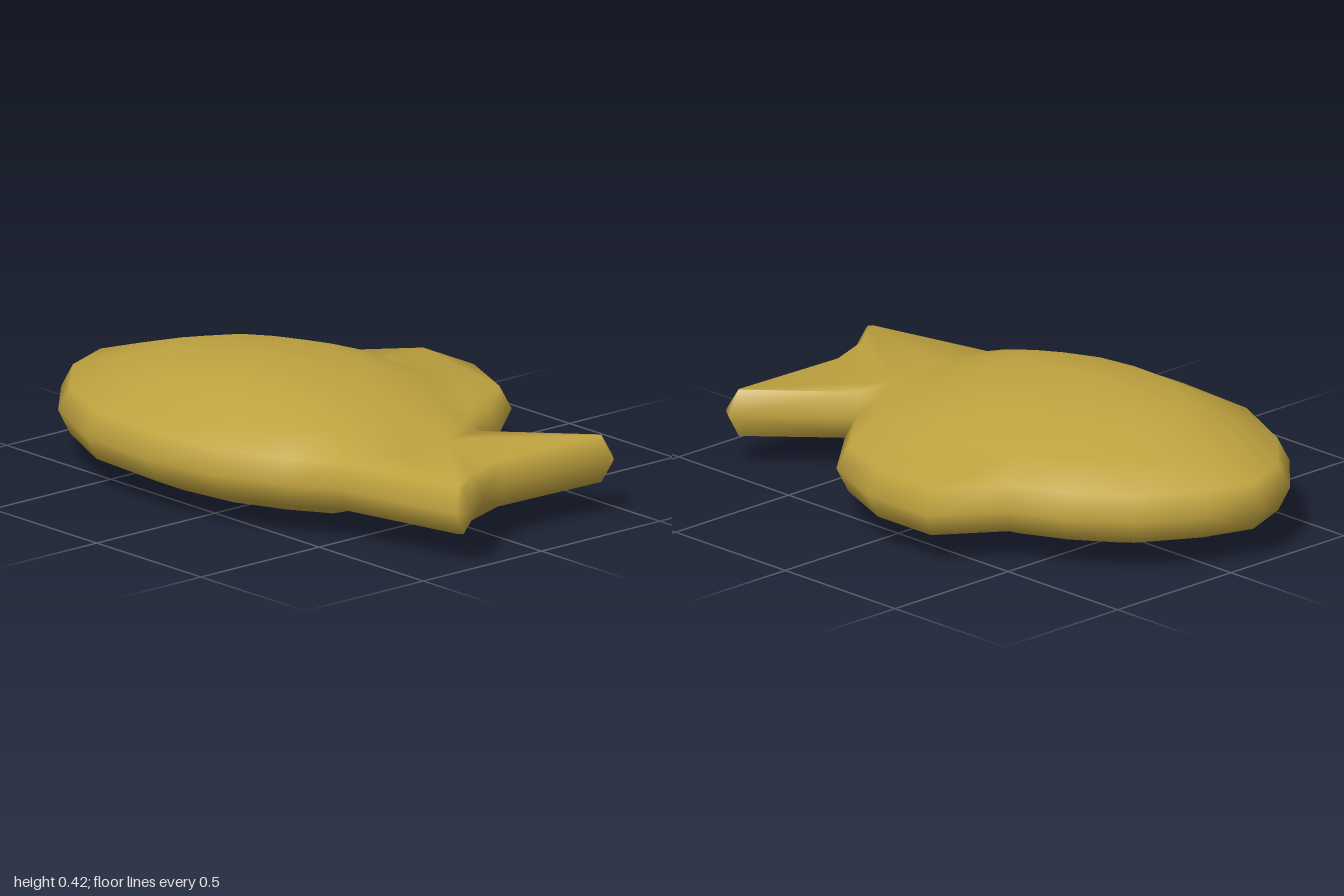
import * as THREE from 'three';
import { mergeVertices } from 'three/addons/utils/BufferGeometryUtils.js';

// Full fish silhouette in plan (x, z): belly, tail, notch, back fin, head
const OUTLINE = [
  [-1, 0.14], [-0.92, 0.34], [-0.73, 0.52], [-0.45, 0.65], [-0.13, 0.67], [0.14, 0.63], [0.37, 0.53], [0.53, 0.43],
  [0.97, 0.335], [0.995, 0.28], [0.89, 0.15], [0.835, 0], [0.848, -0.44], [0.8, -0.475], [0.51, -0.205],
  [0.45, -0.22], [0.39, -0.36], [0.21, -0.57], [-0.04, -0.675], [-0.31, -0.675],
  [-0.46, -0.465], [-0.64, -0.38], [-0.82, -0.25], [-0.94, -0.05],
].map(([x, z]) => new THREE.Vector2(x, z));

// Seams where the domed body meets the tail and the fin
const TAIL_SEAM = [[0.56, 0.2], [0.52, -0.02]].map(([x, z]) => new THREE.Vector2(x, z));
const FIN_SEAM = [[0.32, -0.29], [0.17, -0.4], [0, -0.455], [-0.28, -0.47]].map(([x, z]) => new THREE.Vector2(x, z));

const MID_Y = 0.184;

// Mitred inward offset of a closed outline
function inset(points, d) {
  const n = points.length;
  return points.map((p, i) => {
    const a = p.clone().sub(points[(i + n - 1) % n]).normalize();
    const b = points[(i + 1) % n].clone().sub(p).normalize();
    const na = new THREE.Vector2(a.y, -a.x), nb = new THREE.Vector2(b.y, -b.x);
    const m = na.clone().add(nb);
    return p.clone().addScaledVector(m, d / (1 + na.dot(nb)));
  });
}

export function createModel() {
  const group = new THREE.Group();
  const golden = new THREE.MeshStandardMaterial({ color: 0xbfa23f });
  golden.name = 'golden';

  const positions = [];
  // Add a triangle turned to face up or down
  const tri = (a, b, c, up) => {
    const ny = (b.z - a.z) * (c.x - a.x) - (b.x - a.x) * (c.z - a.z);
    const order = (ny > 0) === up ? [a, b, c] : [a, c, b];
    order.forEach((v) => positions.push(v.x, v.y, v.z));
  };
  const at = (points, y) => points.map((p) => new THREE.Vector3(p.x, y, p.y));
  const bridge = (r1, r2, up) => r1.forEach((p, i) => {
    const j = (i + 1) % r1.length;
    tri(p, r1[j], r2[j], up);
    tri(p, r2[j], r2[i], up);
  });
  const plate = (points, y, up) => {
    const v = at(points, y);
    THREE.ShapeUtils.triangulateShape(points, []).forEach(([a, b, c]) => tri(v[a], v[b], v[c], up));
  };

  const rim = inset(OUTLINE, 0.038);
  const body = [...rim.slice(0, 8), ...TAIL_SEAM, rim[15], ...FIN_SEAM, ...rim.slice(20)];
  const tail = [...rim.slice(7, 16), ...[...TAIL_SEAM].reverse()];
  const fin = [...rim.slice(15, 21), ...[...FIN_SEAM].reverse()];

  // Upper and lower halves: heights of rim, two dome rings and the peak
  for (const [up, heights] of [[true, [0.26, 0.32, 0.38, 0.42]], [false, [0.105, 0.05, 0.02, 0.002]]]) {
    bridge(at(OUTLINE, MID_Y), at(rim, heights[0]), up);
    plate(tail, heights[0], up);
    plate(fin, heights[0], up);
    // Domed body
    let ring = at(body, heights[0]);
    [[0.775, 0.09], [0.51, 0.12]].forEach(([s, cz], k) => {
      const next = body.map((p) => new THREE.Vector3(-0.185 + (p.x + 0.2) * s, heights[k + 1], cz + (p.y - 0.088) * s));
      bridge(ring, next, up);
      ring = next;
    });
    const peak = new THREE.Vector3(-0.18, heights[3], 0.16);
    ring.forEach((p, i) => tri(p, ring[(i + 1) % ring.length], peak, up));
  }

  // Weld so that the whole surface shades smoothly
  let geometry = new THREE.BufferGeometry();
  geometry.setAttribute('position', new THREE.Float32BufferAttribute(positions, 3));
  geometry = mergeVertices(geometry, 1e-4);
  geometry.computeVertexNormals();

  const fish = new THREE.Mesh(geometry, golden);
  fish.name = 'fishBodyWithTailAndFin';
  group.add(fish);
  return group;
}
